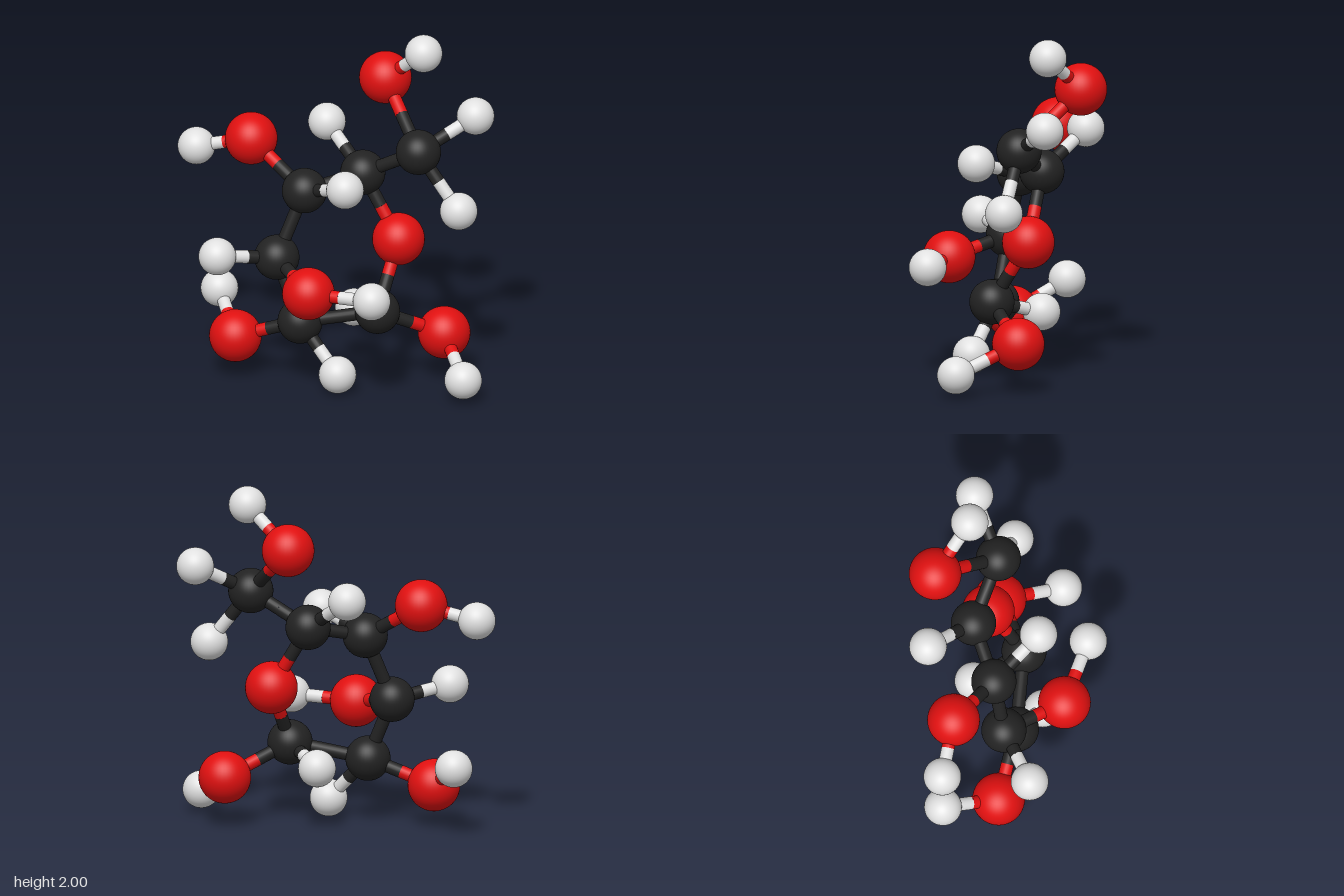
import * as THREE from 'three';

const BOND_RADIUS = 0.037;

// Atom kinds: radius and flat colour
const KINDS = {
  carbon: { radius: 0.127, color: 0x222222 },
  oxygen: { radius: 0.148, color: 0xe01010 },
  hydrogen: { radius: 0.106, color: 0xe0e0e0 },
};

// Atom centres: the ring, its side groups and the hydrogens
const ATOMS = {
  carbon1: [0.125, 0.458, 0.203],
  carbon2: [-0.272, 0.373, 0.015],
  carbon3: [-0.375, 0.728, -0.096],
  carbon4: [-0.213, 1.11, -0.098],
  carbon5: [0.129, 1.183, -0.097],
  carbon6: [0.383, 1.364, 0.142],
  oxygen1: [0.517, 0.287, 0.2],
  oxygen2: [-0.586, 0.24, -0.203],
  oxygen3: [-0.305, 0.643, 0.29],
  oxygen4: [-0.43, 1.332, -0.416],
  oxygen5: [0.294, 0.818, 0.05],
  oxygen6: [0.31, 1.675, -0.261],
  hydrogen1: [0.082, 0.37, -0.115],
  hydrogen2: [-0.117, 0.113, 0.23],
  hydrogen3: [-0.732, 0.782, -0.07],
  hydrogen4: [-0.07, 1.214, 0.22],
  hydrogen5: [0.012, 1.387, -0.41],
  hydrogen6a: [0.724, 1.537, 0.122],
  hydrogen6b: [0.57, 1.05, 0.308],
  hydrogenOn1: [0.516, 0.137, 0.577],
  hydrogenOn2: [-0.581, 0.405, -0.533],
  hydrogenOn3: [-0.009, 0.654, 0.538],
  hydrogenOn4: [-0.702, 1.257, -0.58],
  hydrogenOn6: [0.457, 1.896, -0.003],
};

const BONDS = [
  // ring
  ['carbon1', 'carbon2'], ['carbon2', 'carbon3'], ['carbon3', 'carbon4'],
  ['carbon4', 'carbon5'], ['carbon5', 'oxygen5'], ['oxygen5', 'carbon1'],
  // side groups
  ['carbon5', 'carbon6'], ['carbon1', 'oxygen1'], ['carbon2', 'oxygen2'],
  ['carbon3', 'oxygen3'], ['carbon4', 'oxygen4'], ['carbon6', 'oxygen6'],
  // hydrogens
  ['carbon1', 'hydrogen1'], ['carbon2', 'hydrogen2'], ['carbon3', 'hydrogen3'],
  ['carbon4', 'hydrogen4'], ['carbon5', 'hydrogen5'],
  ['carbon6', 'hydrogen6a'], ['carbon6', 'hydrogen6b'],
  ['oxygen1', 'hydrogenOn1'], ['oxygen2', 'hydrogenOn2'], ['oxygen3', 'hydrogenOn3'],
  ['oxygen4', 'hydrogenOn4'], ['oxygen6', 'hydrogenOn6'],
];

const kindOf = (name) => Object.keys(KINDS).find((kind) => name.startsWith(kind));

export function createModel() {
  const model = new THREE.Group();
  model.name = 'molecule';

  const materials = {};
  const spheres = {};
  for (const [kind, { radius, color }] of Object.entries(KINDS)) {
    materials[kind] = new THREE.MeshStandardMaterial({ color });
    materials[kind].name = `${kind} colour`;
    spheres[kind] = new THREE.SphereGeometry(radius, 40, 28);
  }

  // Atoms
  for (const [name, position] of Object.entries(ATOMS)) {
    const kind = kindOf(name);
    const atom = new THREE.Mesh(spheres[kind], materials[kind]);
    atom.name = `${name} atom`;
    atom.position.set(...position);
    model.add(atom);
  }

  // Half a bond, from an atom centre to the middle of the bond
  const up = new THREE.Vector3(0, 1, 0);
  const addHalfBond = (name, start, middle, kind) => {
    const along = middle.clone().sub(start);
    const half = new THREE.Mesh(
      new THREE.CylinderGeometry(BOND_RADIUS, BOND_RADIUS, along.length(), 20, 1, true),
      materials[kind],
    );
    half.name = name;
    half.position.copy(start).add(middle).multiplyScalar(0.5);
    half.quaternion.setFromUnitVectors(up, along.normalize());
    model.add(half);
  };

  // Bonds, each half in the colour of its own atom
  for (const [a, b] of BONDS) {
    const start = new THREE.Vector3(...ATOMS[a]);
    const end = new THREE.Vector3(...ATOMS[b]);
    const middle = start.clone().lerp(end, 0.5);
    addHalfBond(`bond ${a} to ${b}`, start, middle, kindOf(a));
    addHalfBond(`bond ${b} to ${a}`, end, middle, kindOf(b));
  }

  return model;
}
